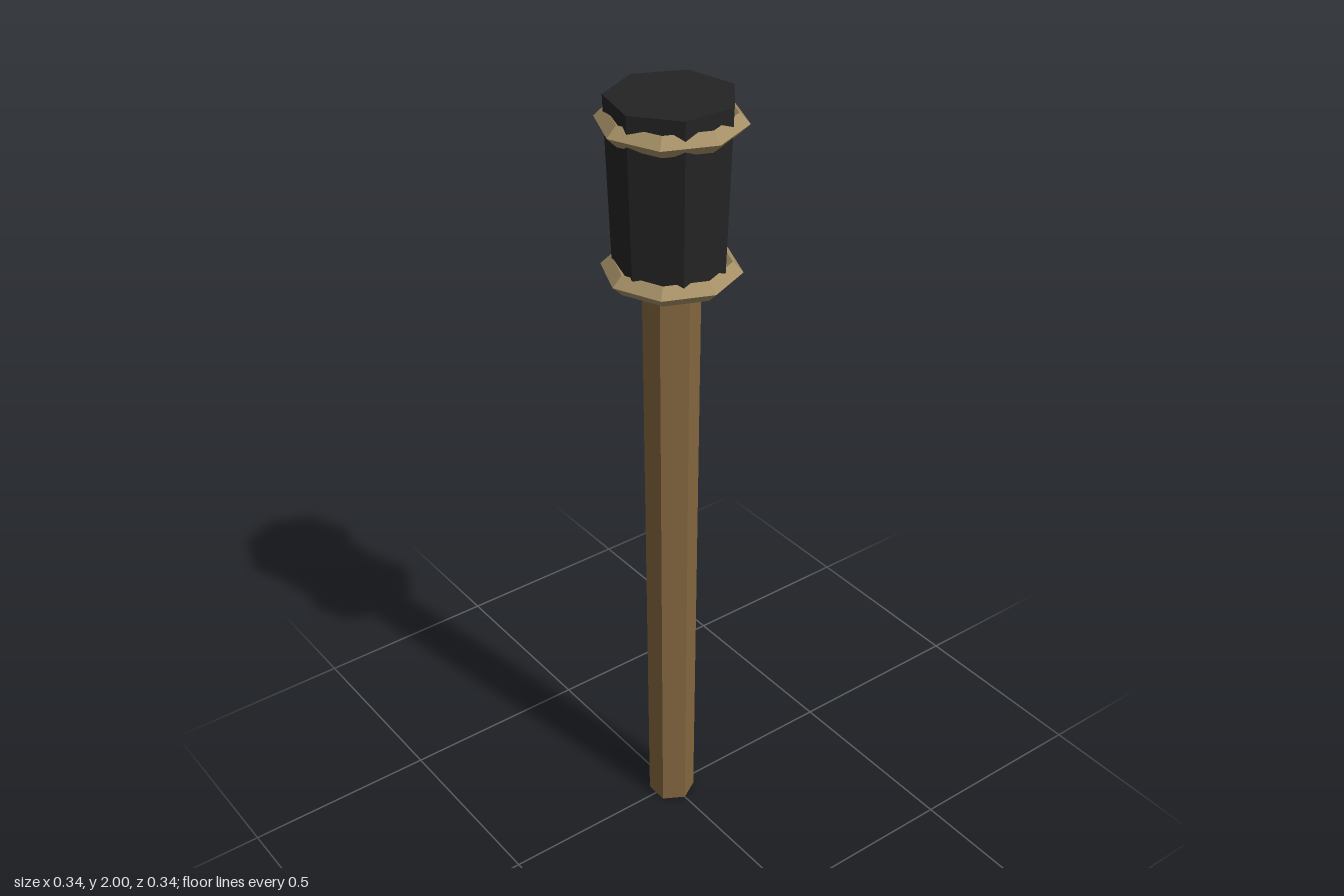
import * as THREE from 'three';

const flat = (name, color) => {
  const m = new THREE.MeshStandardMaterial({ color, flatShading: true });
  m.name = name;
  return m;
};

export function createModel() {
  const group = new THREE.Group();
  const wood = flat('wood', 0x84673f);
  const rope = flat('binding', 0xa58f66);
  const black = flat('charred', 0x242424);

  const add = (name, geometry, material, y) => {
    const mesh = new THREE.Mesh(geometry, material);
    mesh.name = name;
    mesh.position.y = y;
    group.add(mesh);
    return mesh;
  };

  // Tapered prism spanning two heights
  const prism = (name, rTop, rBottom, y0, y1, sides, material) =>
    add(name, new THREE.CylinderGeometry(rTop, rBottom, y1 - y0, sides), material, (y0 + y1) / 2);

  // Six-sided handle, running up into the head
  prism('handle', 0.069, 0.06, 0, 1.62, 6, wood);

  // Seven-sided head with one corner pointing backwards
  prism('head', 0.15, 0.135, 1.58, 2, 7, black).rotation.y = Math.PI;

  // Octagonal bands with a diamond cross-section
  for (const [name, radius, y] of [['upperBand', 0.147, 1.943], ['lowerBand', 0.139, 1.586]]) {
    const ring = new THREE.TorusGeometry(radius, 0.025, 4, 8).rotateX(-Math.PI / 2);
    add(name, ring, rope, y);
  }

  return group;
}
